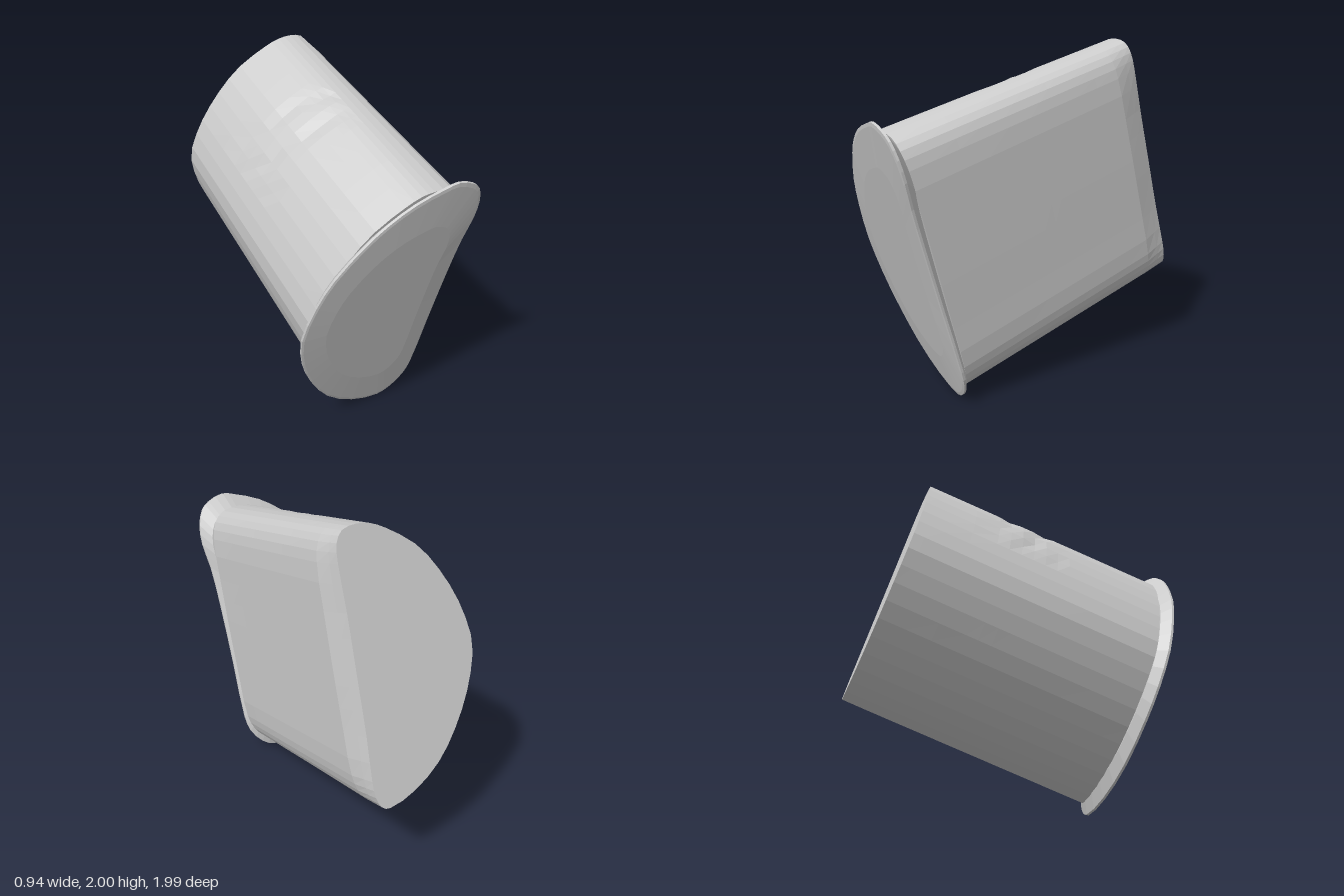
import * as THREE from 'three';

const material = new THREE.MeshStandardMaterial({ color: 0xcccccc, flatShading: true });

// D-shaped outlines as [x, height fraction], counter-clockwise seen from the front
const bodyOutline = [
  [0.2, 0], [0.29, 0.015], [0.35, 0.06], [0.38, 0.13], [0.385, 0.32], [0.387, 0.5], [0.385, 0.68], [0.38, 0.87],
  [0.355, 0.945], [0.3, 0.987], [0.2, 1], [0.12, 0.993], [0.03, 0.965], [-0.14, 0.885], [-0.27, 0.77], [-0.365, 0.64],
  [-0.413, 0.5], [-0.365, 0.36], [-0.27, 0.23], [-0.14, 0.115], [0.03, 0.035],
];
const flangeOutline = [
  [0.2, 0], [0.29, 0.025], [0.36, 0.08], [0.385, 0.14], [0.4, 0.36], [0.42, 0.6], [0.44, 0.74], [0.468, 0.83],
  [0.465, 0.9], [0.43, 0.955], [0.38, 0.98], [0.28, 1], [0.2, 0.99], [0.04, 0.957], [-0.1, 0.905], [-0.2, 0.85],
  [-0.35, 0.735], [-0.425, 0.63], [-0.47, 0.49], [-0.43, 0.36], [-0.35, 0.25], [-0.2, 0.12], [0, 0.032],
];

// Sample a rounded closed outline
function sample(points, count) {
  const curve = new THREE.CatmullRomCurve3(points.map(([x, v]) => new THREE.Vector3(x, v, 0)), true, 'centripetal');
  return curve.getPoints(count).slice(0, count);
}

// Skin a stack of equal-sized rings, front to back, closed by fans at both ends
function loft(name, rings) {
  const n = rings[0].length;
  const vertices = rings.flat();
  const index = [];
  for (let i = 0; i < rings.length - 1; i++) {
    for (let j = 0; j < n; j++) {
      const a = i * n + j, b = i * n + (j + 1) % n, c = a + n, d = b + n;
      index.push(a, c, d, a, d, b);
    }
  }
  const cap = (ring, start, front) => {
    const centre = ring.reduce((s, p) => s.add(p), new THREE.Vector3()).divideScalar(n);
    const m = vertices.push(centre) - 1;
    for (let j = 0; j < n; j++) {
      const a = start + j, b = start + (j + 1) % n;
      index.push(m, front ? a : b, front ? b : a);
    }
  };
  cap(rings[0], 0, true);
  cap(rings[rings.length - 1], (rings.length - 1) * n, false);
  const geometry = new THREE.BufferGeometry().setFromPoints(vertices);
  geometry.setIndex(index);
  geometry.computeVertexNormals();
  const mesh = new THREE.Mesh(geometry, material);
  mesh.name = name;
  return mesh;
}

// Tilted D-section body: its flat side leans, narrows to the rear and is bevelled at the rear edge
function createBody() {
  const outline = sample(bodyOutline, 44);
  const stations = [0, 0.1, 0.2, 0.3, 0.4, 0.45, 0.5, 0.55, 0.6, 0.65, 0.7, 0.8, 0.9, 0.96, 1];
  const rings = stations.map((t) => {
    const low = new THREE.Vector3(0, 0.075 + 0.465 * t, 0.5 - 1.49 * t);
    const high = new THREE.Vector3(0, 1.605 + 0.395 * t, 0.91 - 1.49 * t);
    return outline.map(({ x, y: v }) => {
      const p = new THREE.Vector3().lerpVectors(low, high, v);
      const corner = Math.abs(2 * v - 1) ** 4;
      const bevel = Math.max(0, t - 0.9) * (2.6 - 2 * corner);
      const spread = 1.06 - 0.28 * t + 0.25 * (v - 0.5) - bevel;
      p.x = x > 0.2 ? 0.2 + (x - 0.2) * spread : x;
      // shallow diagonal folds on the upper part of the curved side
      if (x < 0.15 && v > 0.68 && t > 0.4 && t < 0.75) {
        const dent = 0.012 * Math.max(0, Math.sin(t * 45 + v * 18)) * Math.sin((t - 0.4) / 0.35 * Math.PI);
        p.x += dent * 0.6;
        p.y -= dent;
      }
      return p;
    });
  });
  return loft('body', rings);
}

// Slightly domed front plate with a thin projecting lip that slopes back into the body
function createFlange() {
  const outline = sample(flangeOutline, 46);
  const profile = [[-0.01, 0.7], [0, 0.975], [0.004, 1], [0.018, 1], [0.065, 0.885]]; // depth, scale
  const rings = profile.map(([depth, scale]) => outline.map((o) => {
    const v = 0.5 + (o.y - 0.5) * scale;
    return new THREE.Vector3(o.x * scale, 1.67 * v + 0.27 * depth, 0.51 + 0.49 * v - 0.96 * depth);
  }));
  return loft('frontFlange', rings);
}

export function createModel() {
  const model = new THREE.Group();
  model.name = 'tiltedHousing';
  model.add(createBody(), createFlange());
  return model;
}
